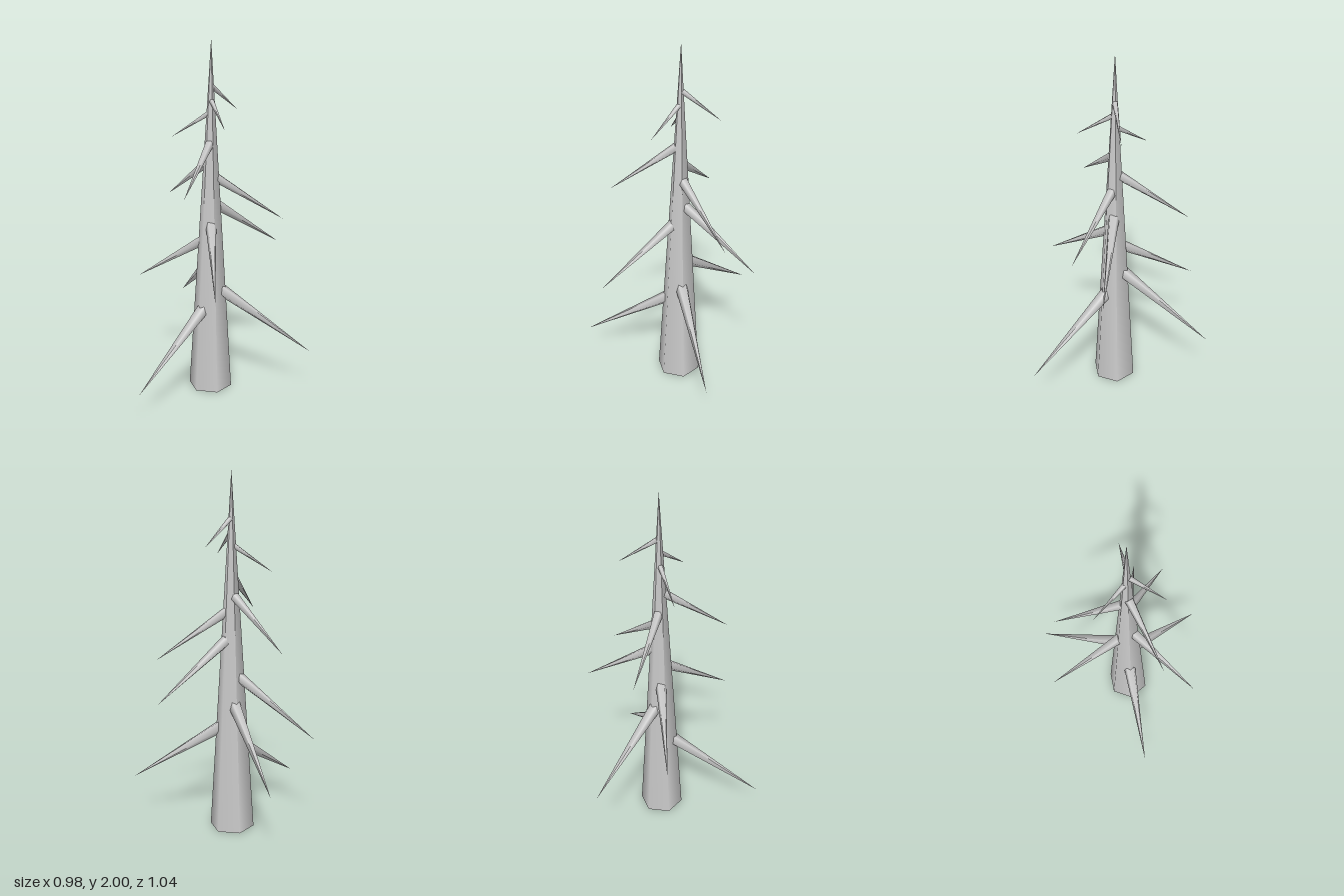
import * as THREE from 'three';

const material = new THREE.MeshStandardMaterial({ color: 0xcccccc });
const CENTER = { x: -0.007, z: -0.063 };
const HEIGHT = 2, BASE_RADIUS = 0.125;
const DROOP = 0.58; // downward slope of every branch, radians

// Tip of each branch: x, y, z, from the lowest upwards
const branchTips = [
  [-0.007, 0.15, 0.52],
  [0.49, 0.26, -0.355],
  [-0.49, 0.4, -0.345],
  [-0.48, 0.6, 0.05],
  [0.325, 0.7, 0.28],
  [0.12, 0.81, -0.52],
  [0.26, 1.0, -0.38],
  [-0.4, 1.09, -0.137],
  [0.12, 1.21, 0.29],
  [-0.2, 1.47, 0.045],
  [0.18, 1.54, 0.04],
  [-0.007, 1.61, -0.28],
];

// Tapered spike that starts inside the trunk and droops to its tip
function makeBranch([x, y, z]) {
  const dx = x - CENTER.x, dz = z - CENTER.z;
  const reach = Math.hypot(dx, dz);
  const approxY = y + reach * Math.tan(DROOP);
  const inset = 0.6 * BASE_RADIUS * (1 - approxY / HEIGHT);
  const run = reach - inset;
  const length = run / Math.cos(DROOP);

  const geometry = new THREE.ConeGeometry(0.06 * length, length, 5);
  geometry.translate(0, length / 2, 0);
  const branch = new THREE.Mesh(geometry, material);
  branch.name = 'branch';
  branch.position.set(
    CENTER.x + (dx / reach) * inset,
    y + run * Math.tan(DROOP),
    CENTER.z + (dz / reach) * inset
  );
  branch.rotation.set(Math.PI / 2 + DROOP, Math.atan2(dx, dz), 0, 'YXZ');
  return branch;
}

export function createModel() {
  const tree = new THREE.Group();
  tree.name = 'bareTree';

  // Six-sided trunk tapering to a point
  const trunk = new THREE.Mesh(new THREE.ConeGeometry(BASE_RADIUS, HEIGHT, 6), material);
  trunk.name = 'trunk';
  trunk.position.set(CENTER.x, HEIGHT / 2, CENTER.z);
  tree.add(trunk);

  // Branches spiralling up the trunk
  const branches = new THREE.Group();
  branches.name = 'branches';
  branchTips.forEach((tip) => branches.add(makeBranch(tip)));
  tree.add(branches);

  return tree;
}
